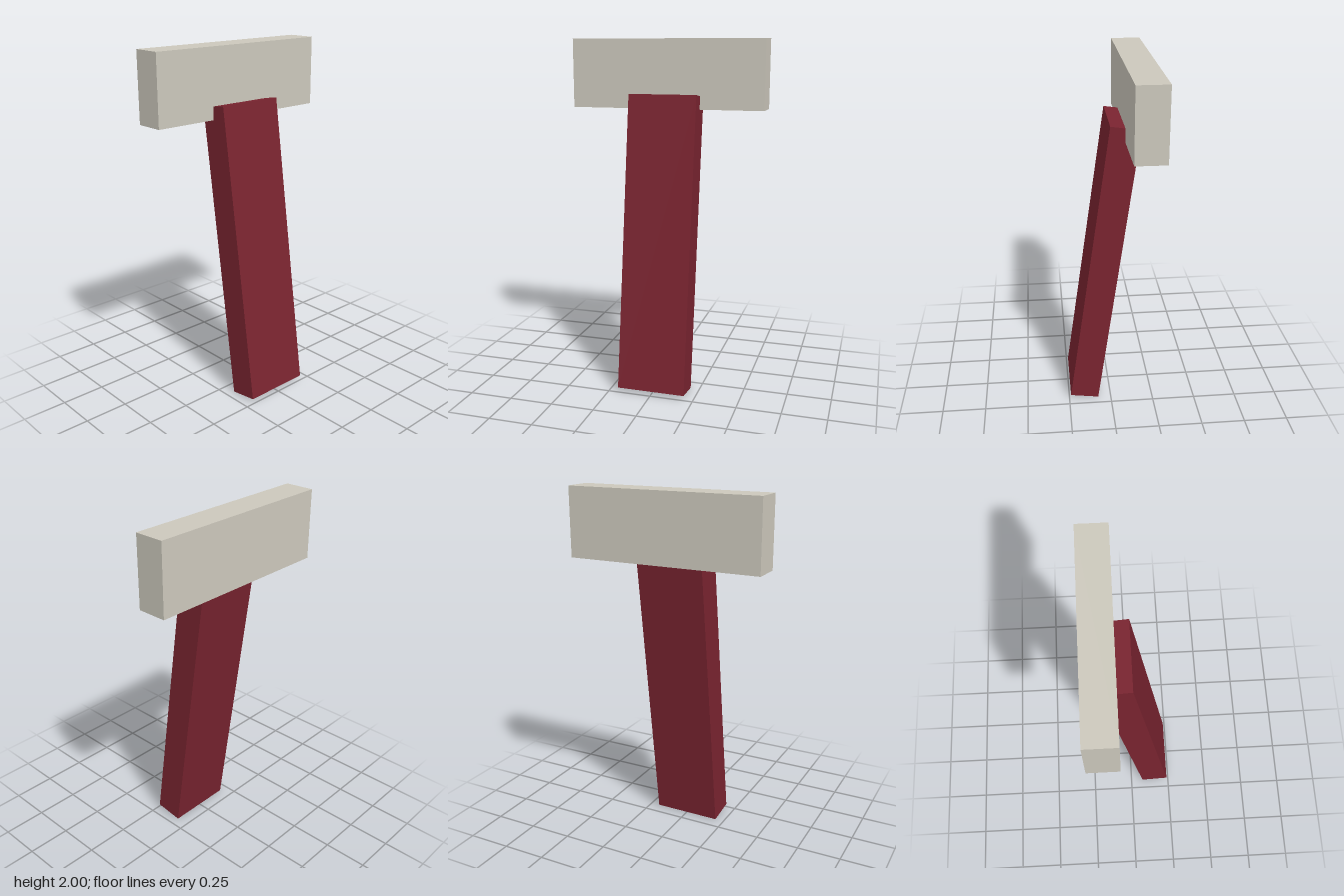
import * as THREE from 'three';

const handleRed = new THREE.MeshStandardMaterial({ name: 'dark red', color: 0x7a2430 });
const headGrey = new THREE.MeshStandardMaterial({ name: 'warm grey', color: 0xccc8bc });

function block(name, size, position, material) {
  const mesh = new THREE.Mesh(new THREE.BoxGeometry(...size), material);
  mesh.name = name;
  mesh.position.set(...position);
  return mesh;
}

export function createModel() {
  const model = new THREE.Group();
  model.name = 'mallet';

  // Upright crosswise head
  const head = block('head', [1.12, 0.39, 0.167], [0, 1.805, -0.157], headGrey);

  // Flat handle, its top leaning back into the head
  const handle = block('handle', [0.393, 1.689, 0.166], [0, 0.848, 0.0405], handleRed);
  handle.rotation.x = -THREE.MathUtils.degToRad(8);

  model.add(head, handle);
  return model;
}
